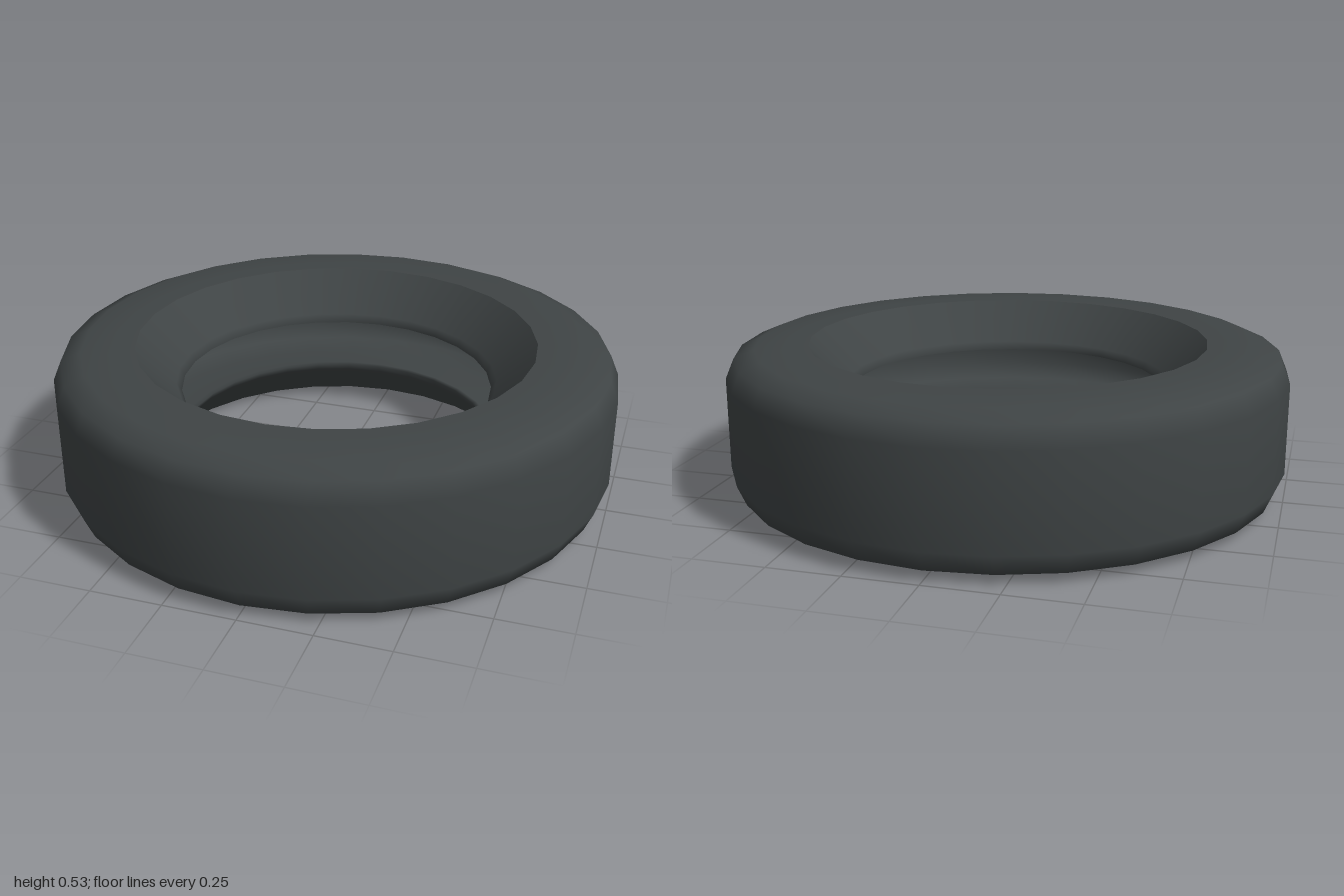
import * as THREE from 'three';

const SIDES = 28;
const HEIGHT = 0.533;

// Mirror a lower half profile [radius, y] about the mid height
const mirrored = (half) => [
  ...half,
  ...half.slice().reverse().map(([r, y]) => [r, HEIGHT - y]),
];

export function createModel() {
  const tyre = new THREE.Group();
  tyre.name = 'tyre';
  const rubber = new THREE.MeshStandardMaterial({ color: 0x3f4445, side: THREE.DoubleSide });

  const addRing = (name, profile) => {
    const points = profile.map(([r, y]) => new THREE.Vector2(r, y));
    const mesh = new THREE.Mesh(new THREE.LatheGeometry(points, SIDES), rubber);
    mesh.name = name;
    tyre.add(mesh);
  };

  // Flat sidewalls, rounded shoulders and plain tread
  addRing('treadAndSidewalls', mirrored([[0.712, 0], [0.78, 0], [0.9, 0.005], [0.97, 0.035], [1, 0.105]]));

  // Sloping beads and the hollow channel between them, starting at a sharp edge
  const inner = mirrored([[0.712, 0], [0.575, 0.145], [0.557, 0.173], [0.575, 0.176], [0.75, 0.15], [0.87, 0.16], [0.9, 0.22]]);
  addRing('beadsAndInnerChannel', inner.reverse());

  return tyre;
}
